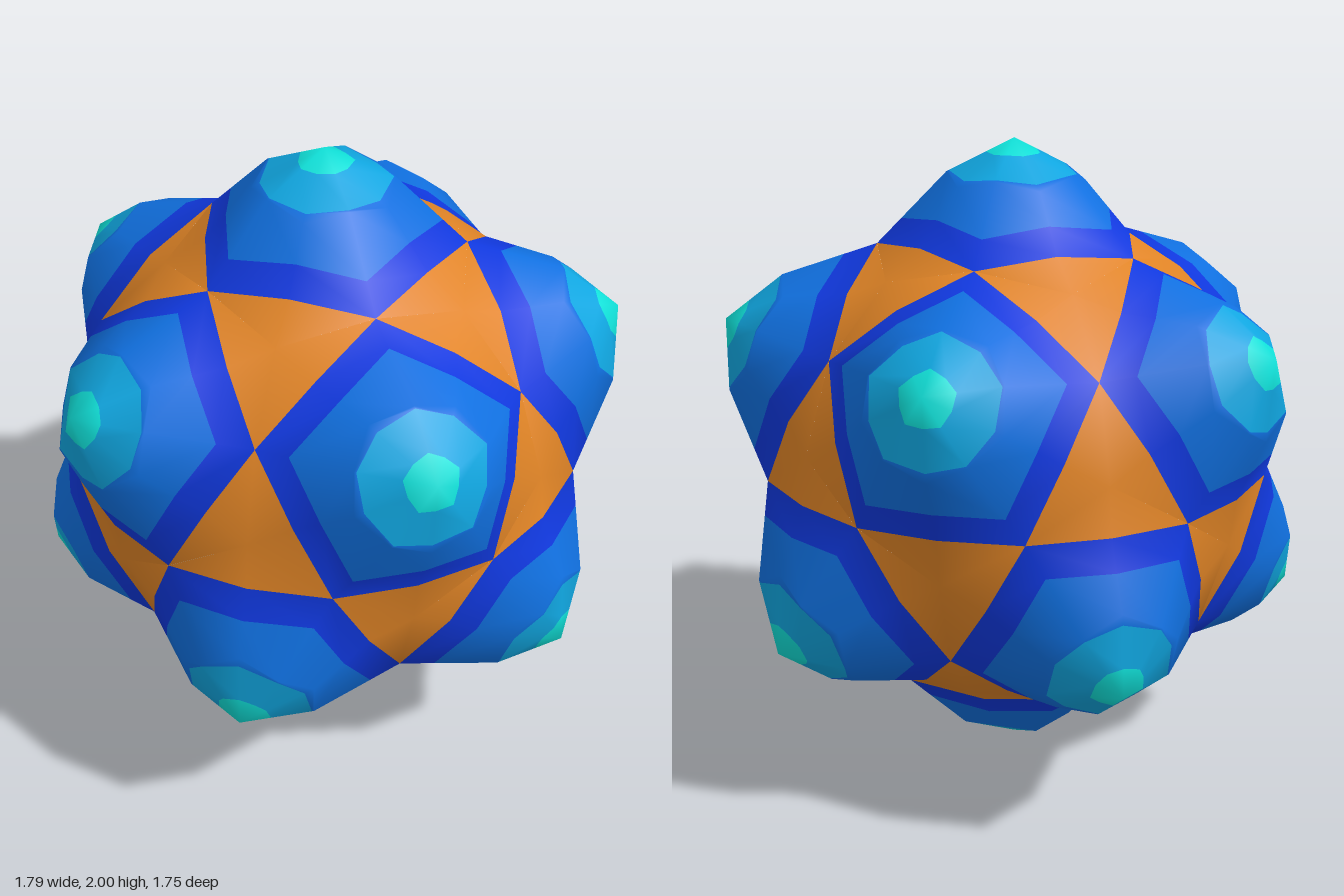
import * as THREE from 'three';
import { mergeVertices } from 'three/addons/utils/BufferGeometryUtils.js';

const colours = {
  tipCap: ['cyan', 0x10e0d8],
  lightBand: ['sky blue', 0x10a6e0],
  dome: ['blue', 0x1070e0],
  domeBorder: ['deep blue', 0x1038de],
  triangularPanel: ['orange', 0xe08426],
};

// Twelve dome axes: two poles and two staggered rings of five
function domeAxes() {
  const axes = [new THREE.Vector3(0, 1, 0), new THREE.Vector3(0, -1, 0)];
  const h = 1 / Math.sqrt(5);
  for (let i = 0; i < 10; i++) {
    const a = (i * Math.PI) / 5;
    axes.push(new THREE.Vector3(2 * h * Math.cos(a), i % 2 ? -h : h, 2 * h * Math.sin(a)));
  }
  return axes;
}

// Dome profiles as [distance from axis, height], towards a corner and towards an edge middle
const tip = [0, 1];
const cornerKnee = [0.205, 0.9], cornerEnd = [0.8 * 0.5257, 0.8 * 0.8507];
const middleKnee = [0.215, 0.872], middleEnd = [0.79 * 0.4472, 0.79 * 0.8944];
const panelCentre = [0.785 * 0.6071, 0.785 * 0.7947];
const mix = (p, q, t) => [p[0] + (q[0] - p[0]) * t, p[1] + (q[1] - p[1]) * t];
const profile = (knee, end, cap, light, border) => [
  mix(tip, knee, cap), mix(tip, knee, light), knee, mix(knee, end, border), end,
];
const cornerProfile = profile(cornerKnee, cornerEnd, 0.42, 0.97, 0.65);
const middleProfile = profile(middleKnee, middleEnd, 0.36, 0.88, 0.54);
const bandNames = ['tipCap', 'lightBand', 'dome', 'dome', 'domeBorder'];

export function createModel() {
  const group = new THREE.Group();
  group.name = 'domedBall';
  const faces = {};
  for (const name in colours) faces[name] = [];

  const axes = domeAxes();
  for (const n of axes) {
    const neighbour = axes.find((p) => Math.abs(p.dot(n) - 0.4472) < 0.01);
    const u = neighbour.clone().addScaledVector(n, -neighbour.dot(n)).normalize();
    const v = new THREE.Vector3().crossVectors(n, u);
    const place = ([s, h], k) => {
      const a = (k * Math.PI) / 5;
      return n.clone().multiplyScalar(h)
        .addScaledVector(u, s * Math.cos(a))
        .addScaledVector(v, s * Math.sin(a));
    };
    const meridian = (k) => (k % 2 ? middleProfile : cornerProfile).map((p) => place(p, k));

    for (let k = 0; k < 10; k++) {
      const a = meridian(k), b = meridian((k + 1) % 10);
      // Dome: a cap fan, then bands out to the five-sided rim
      faces.tipCap.push(n, a[0], b[0]);
      for (let i = 1; i < a.length; i++) {
        faces[bandNames[i]].push(a[i - 1], a[i], b[i], a[i - 1], b[i], b[i - 1]);
      }
      // One sixth of the neighbouring triangular panel
      faces.triangularPanel.push(b[4], a[4], place(panelCentre, k % 2 ? k : k + 1));
    }
  }

  // Weld everything so that the normals run smoothly across the colour borders
  const names = Object.keys(colours);
  const welded = mergeVertices(
    new THREE.BufferGeometry().setFromPoints(names.flatMap((name) => faces[name])), 1e-4);
  welded.computeVertexNormals();
  welded.translate(0, 1, 0);

  // One mesh for each colour, sharing the welded vertices
  let start = 0;
  for (const name of names) {
    const [colourName, hex] = colours[name];
    const count = faces[name].length;
    const geometry = new THREE.BufferGeometry();
    geometry.setAttribute('position', welded.attributes.position);
    geometry.setAttribute('normal', welded.attributes.normal);
    geometry.setIndex(Array.from(welded.index.array.slice(start, start + count)));
    start += count;
    const material = new THREE.MeshStandardMaterial({ color: hex });
    material.name = colourName;
    const mesh = new THREE.Mesh(geometry, material);
    mesh.name = name + 's';
    group.add(mesh);
  }
  return group;
}
